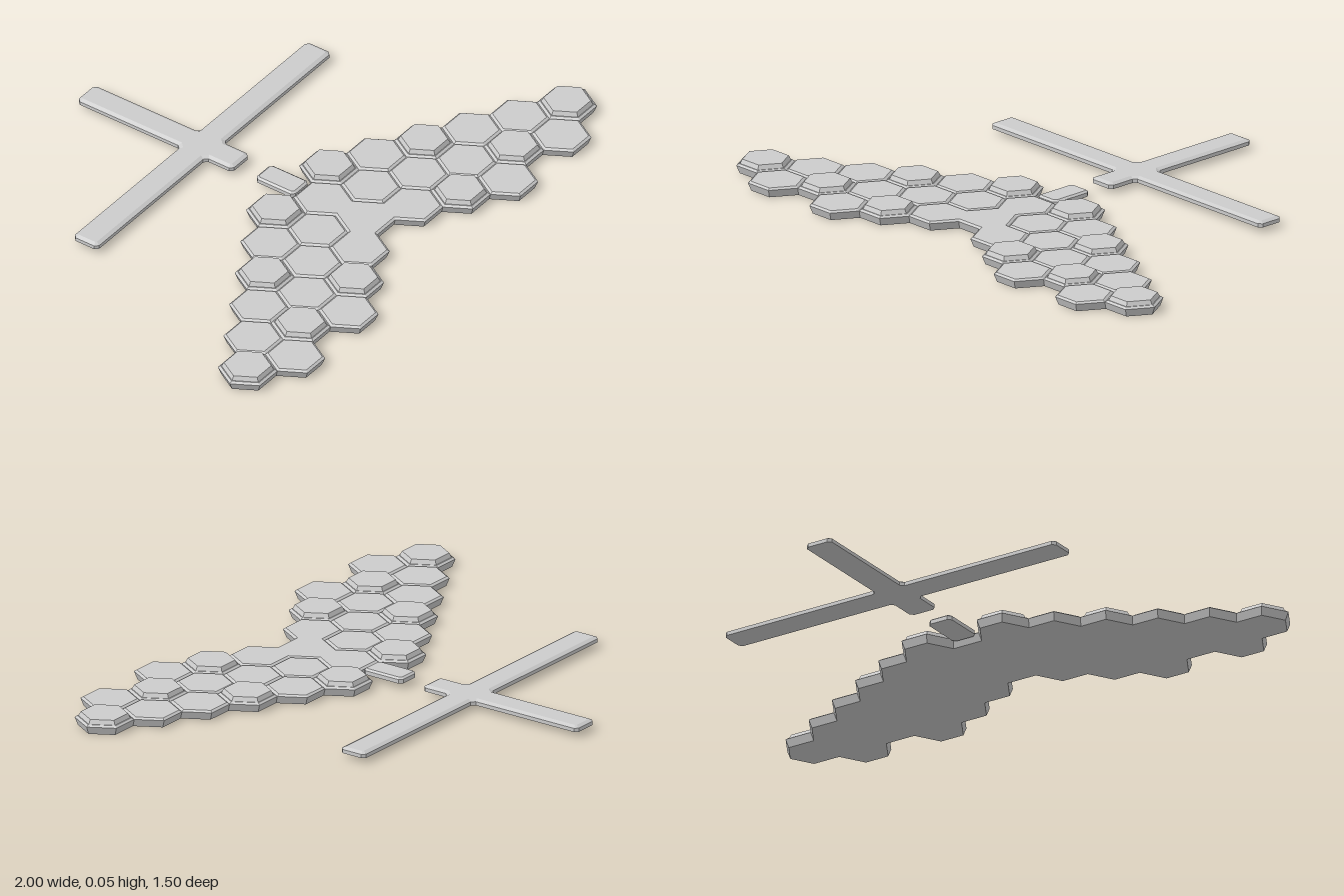
import * as THREE from 'three';

const R = 0.1, A = R * Math.sqrt(3) / 2;
const material = new THREE.MeshStandardMaterial({ color: 0xcccccc, flatShading: true });

// Outer contour of a group of touching hexagons, given by their centres
function hexOutline(tiles) {
  const key = p => `${Math.round(p.x * 200)},${Math.round(p.y * 200)}`;
  const edges = new Map();
  for (const [cx, cz] of tiles) {
    const pts = Array.from({ length: 6 }, (_, k) => new THREE.Vector2(
      cx + R * Math.cos(k * Math.PI / 3), cz + R * Math.sin(k * Math.PI / 3)));
    pts.forEach((a, k) => {
      const b = pts[(k + 1) % 6];
      edges.set(key(a) + '|' + key(b), [a, b]);
    });
  }
  const next = new Map();
  for (const [a, b] of edges.values())
    if (!edges.has(key(b) + '|' + key(a))) next.set(key(a), [a, b]);
  const start = next.keys().next().value, loop = [];
  let k = start;
  do {
    const [a, b] = next.get(k);
    loop.push(a);
    k = key(b);
  } while (k !== start && loop.length < 500);
  return loop;
}

// Moves a contour inwards by d with mitred corners
function inset(pts, d) {
  const n = pts.length;
  const normal = (a, b) => new THREE.Vector2(a.y - b.y, b.x - a.x).normalize();
  return pts.map((p, i) => {
    const n1 = normal(pts[(i + n - 1) % n], p), n2 = normal(p, pts[(i + 1) % n]);
    return p.clone().addScaledVector(n1.clone().add(n2), d / (1 + n1.dot(n2)));
  });
}

// Cuts each corner of a contour by c
function chamfer(points, c) {
  const pts = points.map(p => new THREE.Vector2(...p)), n = pts.length;
  return pts.flatMap((p, i) => [pts[(i + n - 1) % n], pts[(i + 1) % n]].map(q =>
    p.clone().addScaledVector(q.clone().sub(p).normalize(), c)));
}

// Slab through contours at [height, inset] levels, with optional caps
function slab(name, outline, levels, bottom = true, top = true) {
  const rings = levels.map(([y, d]) => inset(outline, d).map(p => new THREE.Vector3(p.x, y, p.y)));
  const pos = [];
  const tri = (...v) => v.forEach(p => pos.push(p.x, p.y, p.z));
  const n = outline.length;
  for (let l = 0; l + 1 < rings.length; l++)
    for (let i = 0; i < n; i++) {
      const j = (i + 1) % n, lo = rings[l], hi = rings[l + 1];
      tri(lo[i], hi[i], hi[j]);
      tri(lo[i], hi[j], lo[j]);
    }
  const cap = (ring, up) => {
    const flat = ring.map(p => new THREE.Vector2(p.x, p.z));
    for (const [a, b, c] of THREE.ShapeUtils.triangulateShape(flat, [])) {
      if (up) tri(ring[a], ring[c], ring[b]);
      else tri(ring[a], ring[b], ring[c]);
    }
  };
  if (bottom) cap(rings[0], false);
  if (top) cap(rings[rings.length - 1], true);
  const g = new THREE.BufferGeometry();
  g.setAttribute('position', new THREE.Float32BufferAttribute(pos, 3));
  g.computeVertexNormals();
  const mesh = new THREE.Mesh(g, material);
  mesh.name = name;
  return mesh;
}

export function createModel() {
  const model = new THREE.Group();
  model.name = 'hexTileBoard';

  // Tile centres: column in 1.5 R steps, row in half tiles back from the front row
  const at = (col, row) => [col * 1.5 * R, 0.75 - A - row * A];
  const lowTiles = [[1, 4], [2, 5], [2, 3], [3, 2], [3, 0], [4, 3], [5, 2], [5, 0]];
  const highTiles = [[1, 6], [2, 1], [3, 4], [4, 1], [6, 1]];
  const hubTiles = [[0, 5], [0, 3], [1, 2], [-1, 2]].map(t => at(...t));
  const mirrored = list => list.flatMap(([c, r]) => [at(c, r), at(-c, r)]);
  const low = mirrored(lowTiles), high = mirrored(highTiles);

  // Shared base, tapering towards the underside
  model.add(slab('basePlate', hexOutline([...hubTiles, ...low, ...high]),
    [[0, 0.01], [0.028, 0]], true, false));

  // Bevelled tiles, the joined hub and the raised tiles
  const tileLevels = [[0.028, 0], [0.034, 0.008]];
  const raisedLevels = [...tileLevels, [0.034, 0.011], [0.049, 0.018]];
  model.add(slab('hub', hexOutline(hubTiles), tileLevels, false));
  for (const t of low) model.add(slab('lowTile', hexOutline([t]), tileLevels, false));
  for (const t of high) model.add(slab('raisedTile', hexOutline([t]), raisedLevels, false));

  // Short connector behind the hub
  const barLevels = [[0.017, 0], [0.031, 0], [0.037, 0.008]];
  model.add(slab('connector', chamfer(
    [[-0.045, -0.02], [0.045, -0.02], [0.045, 0.14], [-0.045, 0.14]], 0.012), barLevels));

  // Detached cross at the back
  const w = 0.05, x = 0.66, z0 = -0.75, z1 = -0.32, z2 = -0.22, z3 = -0.11;
  model.add(slab('cross', chamfer([
    [-w, z0], [w, z0], [w, z1], [x, z1], [x, z2], [w, z2],
    [w, z3], [-w, z3], [-w, z2], [-x, z2], [-x, z1], [-w, z1],
  ], 0.012), [[0.017, 0], [0.03, 0], [0.037, 0.013]]));

  return model;
}
